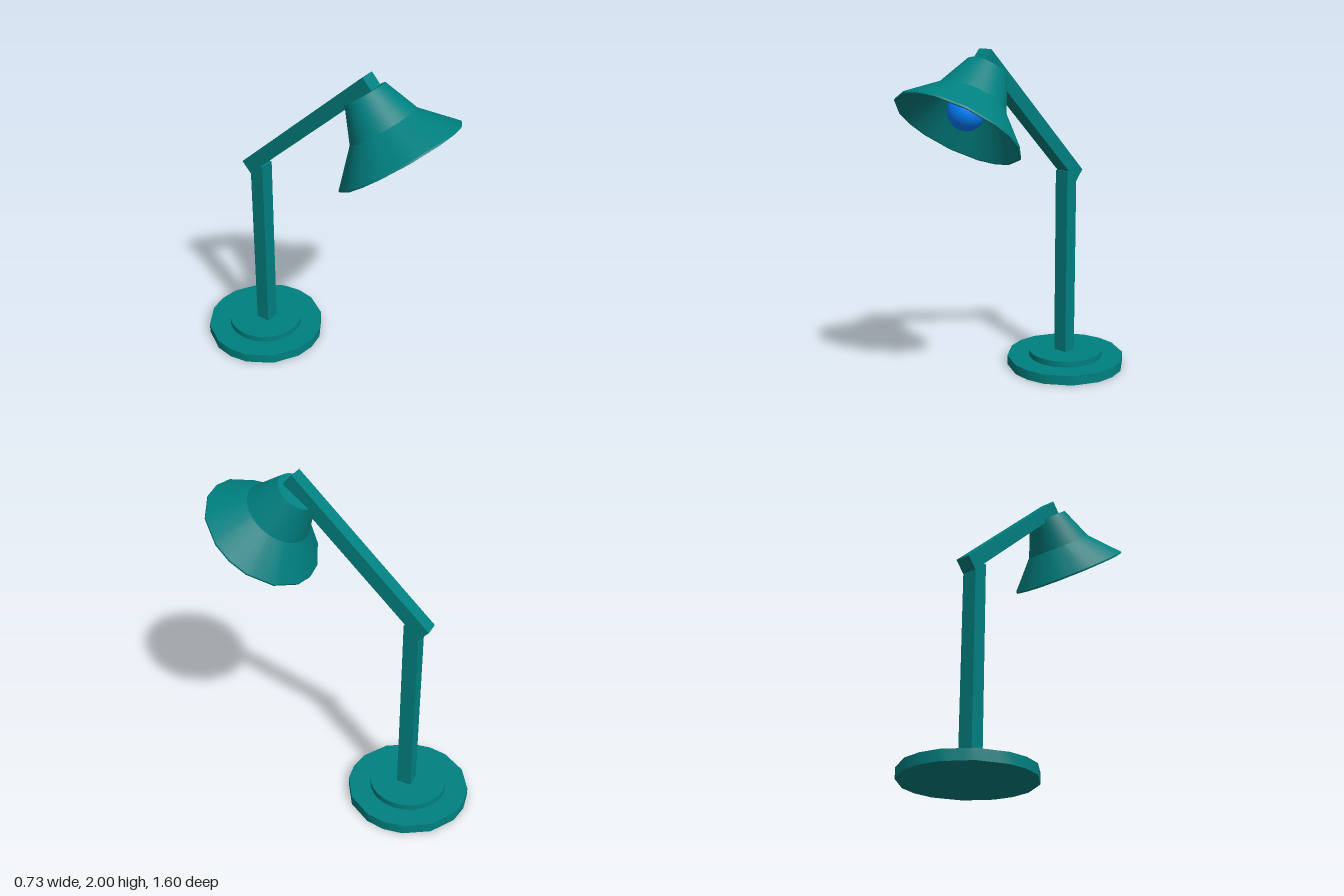
import * as THREE from 'three';
import { toCreasedNormals } from 'three/addons/utils/BufferGeometryUtils.js';

const teal = new THREE.MeshStandardMaterial({ color: 0x008080, side: THREE.DoubleSide });
const blue = new THREE.MeshStandardMaterial({ color: 0x0080ff });

function add(parent, name, geometry, material = teal) {
  const mesh = new THREE.Mesh(geometry, material);
  mesh.name = name;
  parent.add(mesh);
  return mesh;
}

// Radius factor of a 16-sided outline with corners at 0, 18, 45, 72 and 90 degrees
function facet(angle) {
  const deg = (Math.round(THREE.MathUtils.radToDeg(angle)) + 360) % 90;
  const corners = [0, 18, 45, 72, 90];
  const i = corners.findIndex((c) => c > deg);
  const half = (corners[i] - corners[i - 1]) / 2;
  const offset = deg - corners[i - 1] - half;
  return Math.cos(THREE.MathUtils.degToRad(half)) / Math.cos(THREE.MathUtils.degToRad(offset));
}

// Lathe whose wide rings (beyond minRadius) are cut to the faceted outline
function turned(profile, minRadius = Infinity) {
  const geometry = new THREE.LatheGeometry(profile.map(([r, y]) => new THREE.Vector2(r, y)), 40);
  const p = geometry.attributes.position;
  for (let i = 0; i < p.count; i++) {
    const x = p.getX(i), z = p.getZ(i);
    if (Math.hypot(x, z) < minRadius) continue;
    const f = facet(Math.atan2(x, z));
    p.setX(i, x * f);
    p.setZ(i, z * f);
  }
  return toCreasedNormals(geometry, 0.6);
}

export function createModel() {
  const lamp = new THREE.Group();
  lamp.name = 'deskLamp';

  // Stepped base
  const base = new THREE.Group();
  base.name = 'base';
  base.position.z = -0.432;
  lamp.add(base);
  add(base, 'basePlate', turned([[0, 0], [0.366, 0], [0.366, 0.06], [0, 0.06]], 0.3));
  add(base, 'baseStep', turned([[0, 0.05], [0.23, 0.05], [0.23, 0.097], [0, 0.097]]));

  // Upright post and leaning arm
  add(lamp, 'post', new THREE.BoxGeometry(0.088, 1.165, 0.088)).position.set(0, 0.6625, -0.421);
  const arm = add(lamp, 'arm', new THREE.BoxGeometry(0.088, 0.086, 1.115));
  arm.position.set(0, 1.588, -0.088);
  arm.rotation.x = -Math.atan2(0.76, 0.815);

  // Tilted head, its origin at the centre of the rim
  const head = new THREE.Group();
  head.name = 'head';
  head.position.set(0, 1.59, 0.51);
  head.rotation.x = -0.653;
  lamp.add(head);

  add(head, 'shadeFlare', turned([[0.185, 0.18], [0.352, 0], [0.364, 0], [0.364, 0.01], [0.2, 0.182]], 0.3));
  add(head, 'shadeCrown', turned([[0.2, 0.182], [0.12, 0.377], [0, 0.377]]));
  add(head, 'shadeLining', turned([[0, 0.362], [0.108, 0.362], [0.185, 0.18]]));

  // Socket and bulb
  add(head, 'socket', new THREE.CylinderGeometry(0.055, 0.055, 0.17, 24)).position.y = 0.28;
  const bulb = add(head, 'bulb', new THREE.SphereGeometry(0.104, 32, 20), blue);
  bulb.position.y = 0.115;

  return lamp;
}
